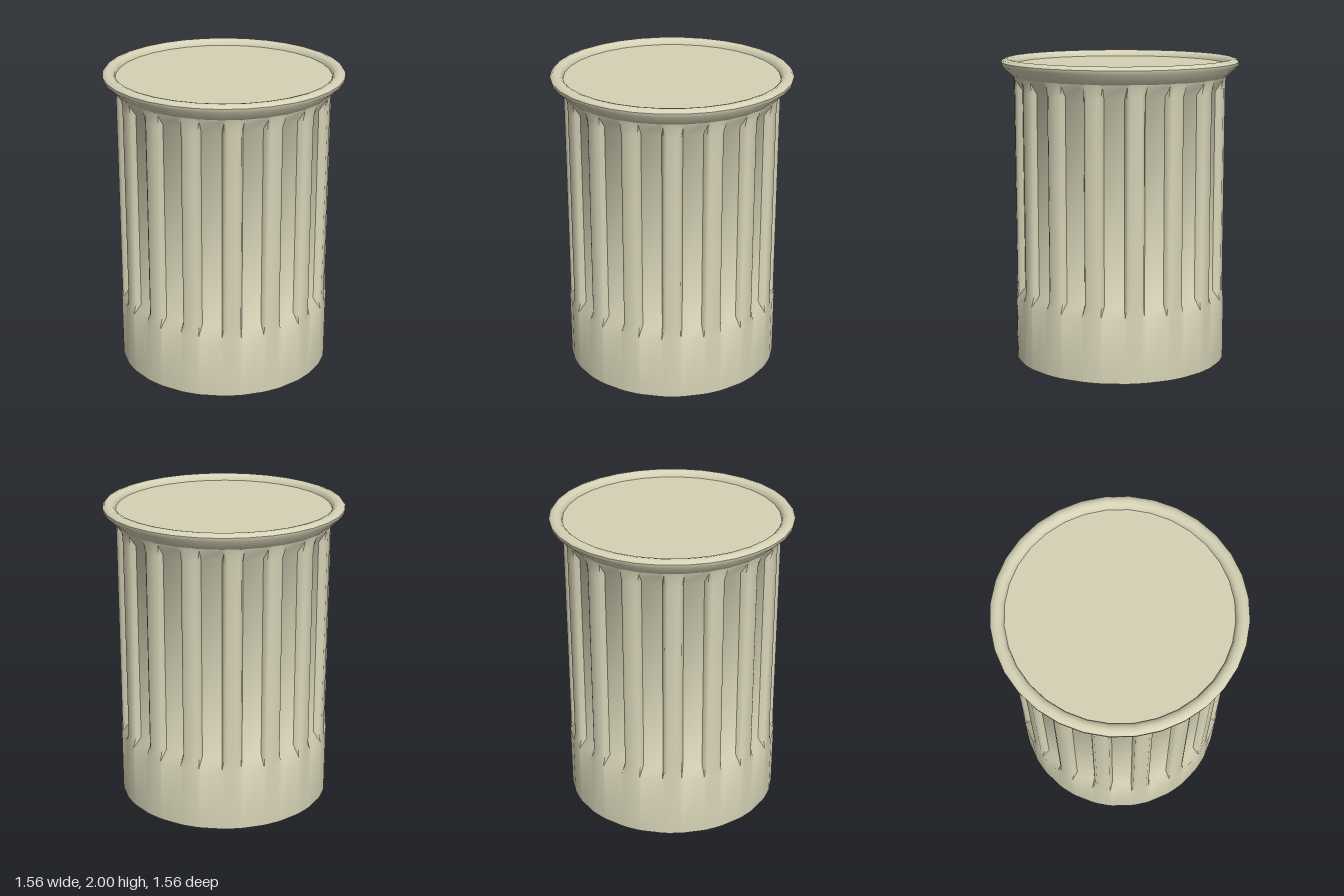
import * as THREE from 'three';
import { toCreasedNormals } from 'three/addons/utils/BufferGeometryUtils.js';

const FLUTES = 16;
const STEP = Math.PI / FLUTES; // angle of one flute or one rib
const CREASE = 0.75;

// Columns of one flute + rib: [angle in steps, groove depth]
const SECTION = [[0, 0.05], [1, 0.05], [1.1, 0.018], [1.25, 0.004], [1.75, 0.004], [1.9, 0.018]];
// Rings of the wall: [height, radius, how much of the groove shows]
const RINGS = [[0, 0.7, 0], [0.42, 0.7, 0], [0.49, 0.698, 1], [1.8, 0.698, 1], [1.87, 0.695, 0], [1.89, 0.7, 0]];

function flutedWall() {
  const positions = [], indices = [];
  const cols = FLUTES * SECTION.length;
  for (const [y, radius, groove] of RINGS) {
    for (let f = 0; f < FLUTES; f++) {
      for (const [a, depth] of SECTION) {
        const angle = (f * 2 + a) * STEP;
        const r = radius - depth * groove;
        positions.push(r * Math.sin(angle), y, r * Math.cos(angle));
      }
    }
  }
  for (let j = 0; j < RINGS.length - 1; j++) {
    for (let i = 0; i < cols; i++) {
      const k = (i + 1) % cols;
      const a = j * cols + i, b = j * cols + k, c = b + cols, d = a + cols;
      indices.push(a, b, c, a, c, d);
    }
  }
  const geometry = new THREE.BufferGeometry();
  geometry.setAttribute('position', new THREE.Float32BufferAttribute(positions, 3));
  geometry.setIndex(indices);
  return toCreasedNormals(geometry, CREASE);
}

// Flared rim with a rolled lip
function flaredRim() {
  const profile = [
    [0.7, 1.885], [0.775, 1.955], [0.778, 1.978], [0.765, 1.993],
    [0.74, 2], [0.715, 1.993], [0.699, 1.978], [0.694, 1.96],
  ].map(([x, y]) => new THREE.Vector2(x, y));
  return toCreasedNormals(new THREE.LatheGeometry(profile, FLUTES * 2), CREASE);
}

export function createModel() {
  const group = new THREE.Group();
  const material = new THREE.MeshStandardMaterial({ color: 0xd6d2b6 });
  const add = (name, geometry) => {
    const mesh = new THREE.Mesh(geometry, material);
    mesh.name = name;
    group.add(mesh);
  };

  // Horizontal discs; the turn keeps a corner on the z axis like the wall
  const disc = (radius, y, tilt) =>
    new THREE.CircleGeometry(radius, FLUTES * 2).rotateX(tilt * Math.PI / 2).translate(0, y, 0);

  add('flutedBody', flutedWall());
  add('rim', flaredRim());
  add('topPanel', disc(0.694, 1.96, -1));
  add('bottomPanel', disc(0.7, 0, 1));
  return group;
}
